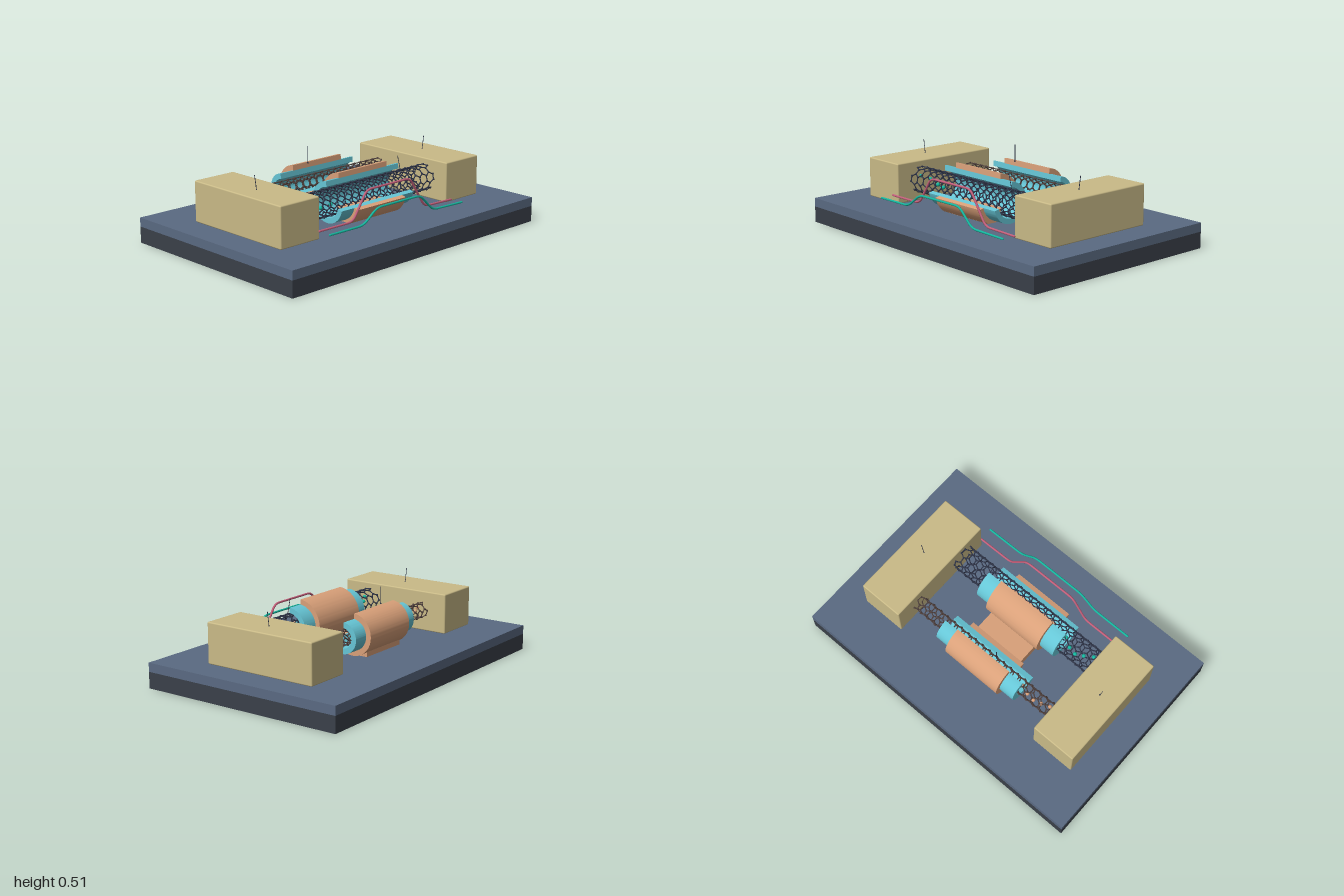
import * as THREE from 'three';
import { mergeGeometries, toCreasedNormals } from 'three/addons/utils/BufferGeometryUtils.js';
import { RoundedBoxGeometry } from 'three/addons/geometries/RoundedBoxGeometry.js';

const mat = (name, color) => {
  const m = new THREE.MeshStandardMaterial({ color });
  m.name = name;
  return m;
};
const M = {
  silicon: mat('dark silicon', 0x3a4049),
  slate: mat('slate oxide', 0x5a6a82),
  sand: mat('sand metal', 0xc9ba87),
  copper: mat('copper gate', 0xd9a079),
  cyan: mat('cyan dielectric', 0x66c6d6),
  carbon: mat('dark carbon', 0x30364a),
  brown: mat('brown carbon', 0x51423f),
  teal: mat('teal', 0x16b8a0),
  pink: mat('pink', 0xc4607c),
};

const AXIS_Y = 0.285; // height of the nanotube axes
const UP = new THREE.Vector3(0, 1, 0);

function add(parent, name, geometry, material, x = 0, y = 0, z = 0) {
  const mesh = new THREE.Mesh(geometry, material);
  mesh.name = name;
  mesh.position.set(x, y, z);
  parent.add(mesh);
  return mesh;
}

// Thin rod between two points
function rod(a, b, radius, sides = 6) {
  const dir = b.clone().sub(a);
  const g = new THREE.CylinderGeometry(radius, radius, dir.length(), sides, 1, false);
  g.applyQuaternion(new THREE.Quaternion().setFromUnitVectors(UP, dir.normalize()));
  const mid = a.clone().add(b).multiplyScalar(0.5);
  return g.translate(mid.x, mid.y, mid.z);
}

// Rolled honeycomb lattice running along x, with n hexagons pairs around
function nanotube(n, radius) {
  const a = (2 * Math.PI * radius) / (3 * n);
  const step = (Math.sqrt(3) / 2) * a;
  const half = Math.round(0.55 / step);
  const point = (k, v) => {
    const t = v / radius;
    return new THREE.Vector3(k * step, radius * Math.sin(t), radius * Math.cos(t));
  };
  const parts = [];
  for (let k = -half; k <= half; k++) {
    for (let j = 0; j < n; j++) {
      const v = 3 * a * j + (k % 2 ? 1.5 * a : 0);
      const p = point(k, v), q = point(k, v + a);
      parts.push(rod(p, q, 0.0035));
      if (k < half) {
        parts.push(rod(p, point(k + 1, v - 0.5 * a), 0.0035));
        parts.push(rod(q, point(k + 1, v + 1.5 * a), 0.0035));
      }
      for (const c of [p, q]) {
        parts.push(new THREE.SphereGeometry(0.0065, 8, 6).translate(c.x, c.y, c.z));
      }
    }
  }
  return mergeGeometries(parts);
}

// Cut-away sleeve around the x axis, open towards the upper front
function sleeve(inner, outer, length) {
  const start = THREE.MathUtils.degToRad(-166.5), end = THREE.MathUtils.degToRad(85.5);
  const s = new THREE.Shape();
  s.absarc(0, 0, outer, start, end, false);
  s.absarc(0, 0, inner, end, start, true);
  const g = new THREE.ExtrudeGeometry(s, { depth: length, bevelEnabled: false, curveSegments: 40 });
  g.translate(0, 0, -length / 2).rotateY(Math.PI / 2);
  return toCreasedNormals(g, 0.5);
}

// Rounded wire through a short list of x, y points
function wire(points) {
  const path = new THREE.CurvePath();
  const v = points.map(([x, y]) => new THREE.Vector3(x, y, 0));
  let from = v[0];
  for (let i = 1; i < v.length - 1; i++) {
    const before = v[i].clone().lerp(v[i - 1], Math.min(0.4, 0.04 / v[i].distanceTo(v[i - 1])));
    const after = v[i].clone().lerp(v[i + 1], Math.min(0.4, 0.04 / v[i].distanceTo(v[i + 1])));
    path.add(new THREE.LineCurve3(from, before));
    path.add(new THREE.QuadraticBezierCurve3(before, v[i], after));
    from = after;
  }
  path.add(new THREE.LineCurve3(from, v[v.length - 1]));
  const caps = [v[0], v[v.length - 1]].map((c) =>
    new THREE.SphereGeometry(0.0068, 8, 6).translate(c.x, c.y, 0));
  return mergeGeometries([new THREE.TubeGeometry(path, 96, 0.0068, 8), ...caps]);
}

export function createModel() {
  const root = new THREE.Group();
  root.name = 'nanotubeTransistor';

  // Layered base
  add(root, 'substrate', new THREE.BoxGeometry(2, 0.1, 1.333), M.silicon, 0, 0.05, 0);
  add(root, 'oxideLayer', new THREE.BoxGeometry(2, 0.055, 1.333), M.slate, 0, 0.1275, 0);

  // End contacts
  for (const side of [-1, 1]) {
    add(root, side < 0 ? 'sourceContact' : 'drainContact',
      new RoundedBoxGeometry(0.29, 0.25, 0.746, 2, 0.008), M.sand, side * 0.673, 0.279, 0);
  }

  // Gate bar passing under both tubes
  add(root, 'gateBar', new THREE.BoxGeometry(0.34, 0.066, 0.56), M.copper, 0, 0.187, 0);

  // Two nanotubes with wrapped dielectric and gate
  const channels = [
    { name: 'front', z: 0.195, n: 5, r: 0.08, radii: [0.092, 0.124, 0.155], mat: M.carbon, dot: M.teal },
    { name: 'back', z: -0.2, n: 3, r: 0.046, radii: [0.062, 0.095, 0.128], mat: M.brown, dot: M.copper },
  ];
  for (const c of channels) {
    const g = new THREE.Group();
    g.name = c.name + 'Channel';
    g.position.set(0, AXIS_Y, c.z);
    root.add(g);
    add(g, 'nanotube', nanotube(c.n, c.r), c.mat);
    add(g, 'dielectricSleeve', sleeve(c.radii[0], c.radii[1], 0.6), M.cyan);
    add(g, 'gateSleeve', sleeve(c.radii[1], c.radii[2], 0.4), M.copper);
    // Charge carriers inside the source end
    for (let i = 0; i < 5; i++) {
      const t = i * 1.1;
      add(g, 'carrier', new THREE.SphereGeometry(0.012, 12, 8), c.dot,
        -0.5 + i * 0.053, c.r * 0.35 * Math.cos(t), c.r * 0.35 * Math.cos(t + 0.9));
    }
  }

  // Energy band wires in front
  add(root, 'upperBandWire', wire([[-0.55, 0.21], [-0.29, 0.21], [-0.18, 0.378], [0.18, 0.378],
    [0.31, 0.182], [0.55, 0.175]]), M.pink, 0, 0, 0.395);
  add(root, 'lowerBandWire', wire([[-0.55, 0.207], [-0.29, 0.207], [-0.18, 0.29], [0.18, 0.29],
    [0.29, 0.182], [0.55, 0.175]]), M.teal, 0, 0, 0.48);

  // Thin marker pins: foot x, y, z and tip x, y
  const pins = [
    [-0.69, 0.402, 0.028, -0.703, 0.49],
    [0.685, 0.402, 0.028, 0.698, 0.49],
    [-0.09, 0.412, -0.195, -0.09, 0.515],
    [0.31, 0.365, 0.195, 0.284, 0.46],
  ];
  for (const [x, y, z, tx, ty] of pins) {
    const foot = new THREE.Vector3(x, y, z);
    const ball = new THREE.SphereGeometry(0.005, 8, 6).translate(x, y, z);
    add(root, 'markerPin', mergeGeometries([rod(foot, new THREE.Vector3(tx, ty, z), 0.002), ball]), M.carbon);
  }
  return root;
}
